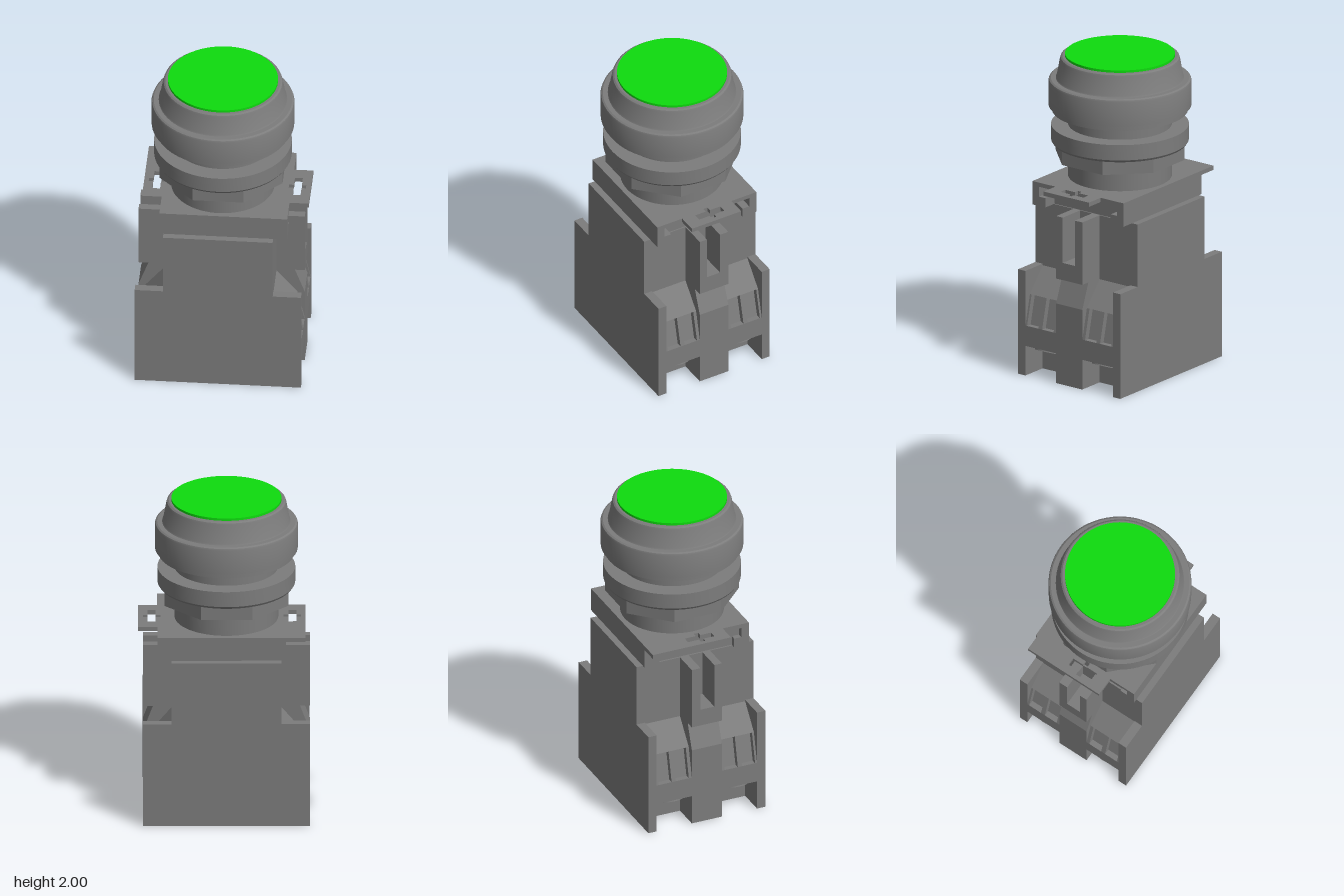
import * as THREE from 'three';
import { toCreasedNormals } from 'three/addons/utils/BufferGeometryUtils.js';

const CX = -0.016; // axis of the button and mirror plane of the housing

export function createModel() {
  const grey = new THREE.MeshStandardMaterial({ color: 0x7c7c7c });
  grey.name = 'grey plastic';
  const green = new THREE.MeshStandardMaterial({ color: 0x0edb0e });
  green.name = 'green cap';
  const model = new THREE.Group();
  model.name = 'pushButtonSwitch';

  const add = (name, geometry, material = grey, parent = model) => {
    const mesh = new THREE.Mesh(geometry, material);
    mesh.name = name;
    parent.add(mesh);
    return mesh;
  };
  // box given by its limits on each axis
  const box = (name, x0, x1, y0, y1, z0, z1, parent) => {
    const mesh = add(name, new THREE.BoxGeometry(x1 - x0, y1 - y0, z1 - z0), grey, parent);
    mesh.position.set((x0 + x1) / 2, (y0 + y1) / 2, (z0 + z1) / 2);
    return mesh;
  };
  const toPoints = (list) => list.map(([x, y]) => new THREE.Vector2(x, y));
  // x-y outline extruded from z0 to z1
  const prism = (name, outline, z0, z1, parent) => {
    const geo = new THREE.ExtrudeGeometry(new THREE.Shape(toPoints(outline)),
      { depth: z1 - z0, bevelEnabled: false });
    return add(name, geo.translate(0, 0, z0), grey, parent);
  };
  const turned = (name, profile, material) => {
    const geo = new THREE.LatheGeometry(toPoints(profile), 72);
    add(name, toCreasedNormals(geo, 0.45), material).position.x = CX;
  };

  // contact block core and its two flat side walls
  box('contactBlockCore', -0.35, 0.318, 0, 1.07, -0.39, 0.39);
  for (const s of [-1, 1]) {
    const zs = [s * 0.335, s * 0.39].sort((a, b) => a - b);
    box('sideWall', -0.522, 0.49, 0, 0.67, zs[0], zs[1]);
  }

  // terminal outlines: plain rib and the one with a recessed window
  const rib = [[0.3, 0.13], [0.32, 0.13], [0.49, 0.19], [0.49, 0.32],
    [0.445, 0.51], [0.31, 0.67], [0.3, 0.67]];
  const windowed = [[0.3, 0.13], [0.32, 0.13], [0.49, 0.19], [0.49, 0.32], [0.455, 0.32],
    [0.41, 0.51], [0.445, 0.51], [0.31, 0.67], [0.3, 0.67]];
  const column = [[0.3, 0], [0.49, 0], [0.49, 0.51], [0.43, 0.67], [0.3, 0.67]];
  const flip = (outline) => outline.map(([x, y]) => [2 * CX - x, y]);

  for (const side of [1, -1]) {
    const end = new THREE.Group();
    end.name = side > 0 ? 'leftTerminalEnd' : 'rightTerminalEnd';
    model.add(end);
    const put = (outline) => (side > 0 ? outline : flip(outline));
    const xBox = (name, x0, x1, ...rest) => (side > 0
      ? box(name, x0, x1, ...rest, end)
      : box(name, 2 * CX - x1, 2 * CX - x0, ...rest, end));

    // centre column with a forked guide above it
    prism('centreColumn', put(column), -0.1, 0.1, end);
    xBox('guideBase', 0.3, 0.49, 0.67, 0.78, -0.1, 0.1);
    xBox('guideProng', 0.3, 0.49, 0.78, 1.07, 0.05, 0.1);
    xBox('guideProng', 0.3, 0.49, 0.78, 1.07, -0.1, -0.042);

    for (const s of [1, -1]) {
      const slices = [[0.1, 0.12, rib], [0.12, 0.207, windowed], [0.207, 0.235, rib],
        [0.235, 0.322, windowed], [0.322, 0.335, rib]];
      for (const [a, b, outline] of slices) {
        prism('terminal', put(outline), Math.min(s * a, s * b), Math.max(s * a, s * b), end);
      }
      // screw head in the sloping underside
      const screw = add('screwHead', new THREE.CylinderGeometry(0.088, 0.088, 0.012, 32), grey, end);
      screw.position.set(side > 0 ? 0.405 : 2 * CX - 0.405, 0.158, s * 0.217);
      screw.rotation.z = side * Math.atan2(0.06, 0.17);
    }
  }

  // mounting adapter: channel walls with inward lips, core and top plate
  for (const s of [-1, 1]) {
    const span = (a, b) => [Math.min(s * a, s * b), Math.max(s * a, s * b)];
    box('adapterWall', -0.375, 0.403, 1.07, 1.195, ...span(0.298, 0.348));
    box('adapterLip', -0.375, 0.403, 1.07, 1.13, ...span(0.25, 0.348));
  }
  box('adapterCore', -0.34, 0.31, 1.07, 1.195, -0.3, 0.3);
  const plate = new THREE.Shape(toPoints([[-0.375, -0.348], [0.403, -0.348], [0.403, -0.173],
    [0.52, -0.173], [0.52, 0.173], [0.403, 0.173], [0.403, 0.348], [-0.495, 0.348],
    [-0.495, -0.173], [-0.375, -0.173]]));
  // cross-shaped latch holes in both tabs
  const cross = [[0.415, -0.088], [0.463, -0.088], [0.463, -0.015], [0.49, -0.015], [0.49, 0.015],
    [0.463, 0.015], [0.463, 0.088], [0.415, 0.088], [0.415, 0.015], [0.385, 0.015],
    [0.385, -0.015], [0.415, -0.015]];
  plate.holes.push(new THREE.Path(toPoints(cross)));
  plate.holes.push(new THREE.Path(toPoints(cross.map(([x, y]) => [0.023 - x, y]))));
  const plateGeo = new THREE.ExtrudeGeometry(plate, { depth: 0.027, bevelEnabled: false });
  add('adapterPlate', plateGeo.rotateX(-Math.PI / 2).translate(0, 1.193, 0));

  // threaded neck, octagonal nut and clamping ring
  turned('neck', [[0, 1.2], [0.315, 1.2], [0.315, 1.66], [0, 1.66]]);
  const nut = new THREE.CylinderGeometry(0.406, 0.406, 0.09, 8).toNonIndexed();
  nut.computeVertexNormals();
  const nutMesh = add('octagonalNut', nut);
  nutMesh.position.set(CX, 1.395, 0);
  nutMesh.rotation.y = Math.PI / 8;
  turned('clampRing', [[0, 1.437], [0.408, 1.437], [0.418, 1.452], [0.418, 1.55], [0, 1.55]]);

  // bezel with gasket step and rounded collar
  turned('bezel', [[0, 1.64], [0.413, 1.64], [0.413, 1.672], [0.433, 1.672], [0.434, 1.828],
    [0.43, 1.839], [0.42, 1.845], [0.39, 1.845], [0.385, 1.853], [0.364, 1.967], [0.36, 1.978],
    [0.35, 1.985], [0, 1.985]]);
  turned('pressCap', [[0, 1.98], [0.334, 1.98], [0.334, 2], [0, 2]], green);

  return model;
}
